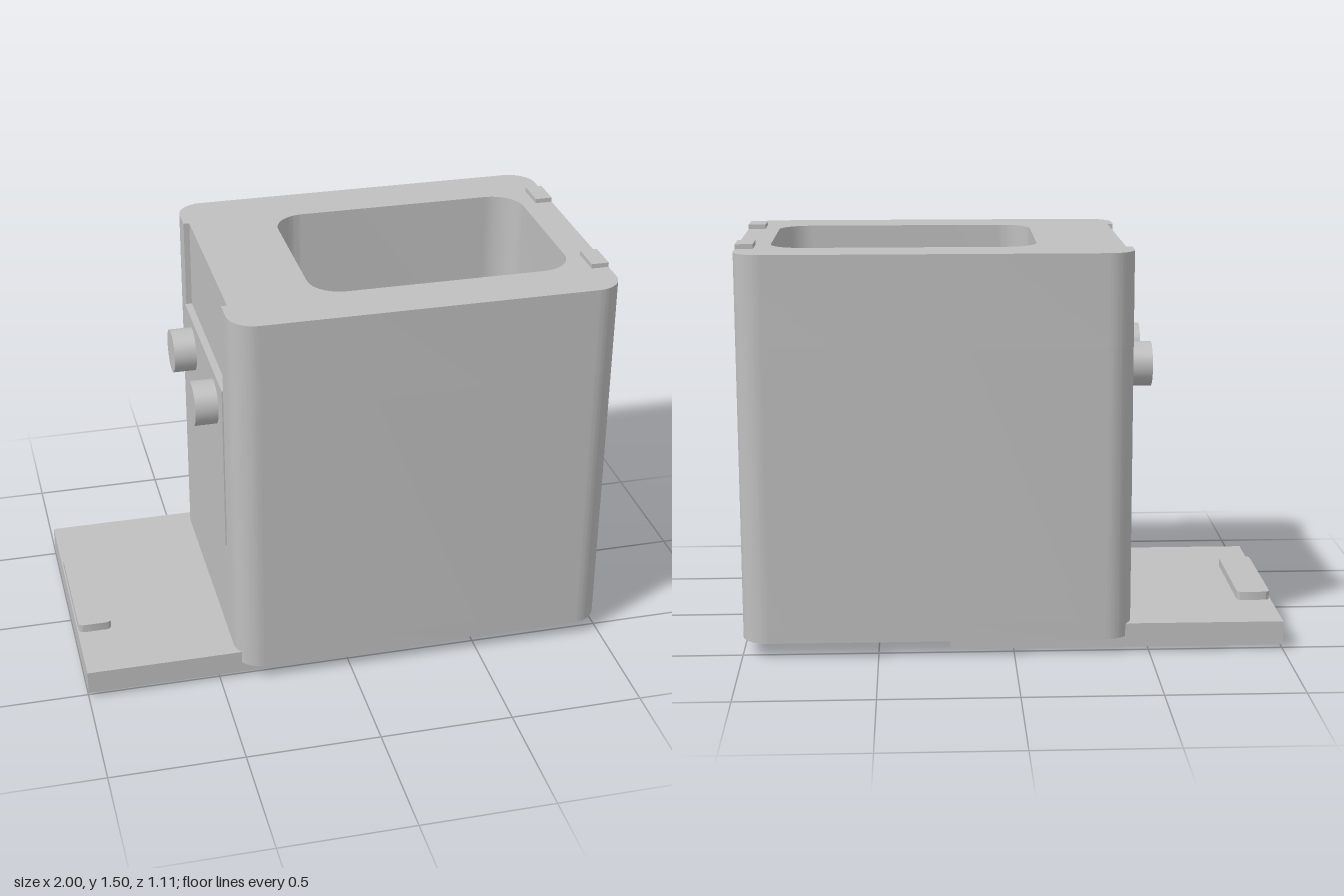
import * as THREE from 'three';
import { toCreasedNormals } from 'three/addons/utils/BufferGeometryUtils.js';

// Rounded rectangle outline; an optional notch is cut into its -x edge
function outline(target, x0, x1, halfZ, r, notchDepth = 0, notchHalf = 0) {
  const q = Math.PI / 2;
  target.moveTo(x0 + r, -halfZ);
  target.lineTo(x1 - r, -halfZ);
  target.absarc(x1 - r, -halfZ + r, r, -q, 0, false);
  target.lineTo(x1, halfZ - r);
  target.absarc(x1 - r, halfZ - r, r, 0, q, false);
  target.lineTo(x0 + r, halfZ);
  target.absarc(x0 + r, halfZ - r, r, q, 2 * q, false);
  if (notchDepth) {
    target.lineTo(x0, notchHalf);
    target.lineTo(x0 + notchDepth, notchHalf);
    target.lineTo(x0 + notchDepth, -notchHalf);
    target.lineTo(x0, -notchHalf);
  }
  target.lineTo(x0, -halfZ + r);
  target.absarc(x0 + r, -halfZ + r, r, 2 * q, 3 * q, false);
  return target;
}

export function createModel() {
  const model = new THREE.Group();
  model.name = 'container';
  const grey = new THREE.MeshStandardMaterial({ color: 0xbfbfbf });
  grey.name = 'grey';

  const add = (name, geometry, x = 0, y = 0, z = 0) => {
    const mesh = new THREE.Mesh(geometry, grey);
    mesh.name = name;
    mesh.position.set(x, y, z);
    model.add(mesh);
    return mesh;
  };
  // Box given by its limits
  const box = (name, x0, x1, y0, y1, z0, z1) =>
    add(name, new THREE.BoxGeometry(x1 - x0, y1 - y0, z1 - z0),
      (x0 + x1) / 2, (y0 + y1) / 2, (z0 + z1) / 2);
  // Cylinder lying along x
  const xCylinder = (name, r, x0, x1, y, z) =>
    add(name, new THREE.CylinderGeometry(r, r, x1 - x0, 40).rotateZ(Math.PI / 2), (x0 + x1) / 2, y, z);
  // Horizontal slice of the housing
  const layer = (name, y0, y1, open, notch) => {
    const shape = outline(new THREE.Shape(), -0.435, 1, 0.555, 0.1, notch ? 0.022 : 0, 0.37);
    if (open) shape.holes.push(outline(new THREE.Path(), -0.095, 0.88, 0.355, 0.12));
    const g = new THREE.ExtrudeGeometry(shape, { depth: y1 - y0, bevelEnabled: false, curveSegments: 12 });
    g.rotateX(-Math.PI / 2);
    add(name, toCreasedNormals(g, 0.6), 0, y0, 0);
  };

  // Housing: solid floor, hollow walls, rim with a recess above the control panel
  layer('housingFloor', 0.06, 0.13, false, false);
  layer('housingWalls', 0.13, 1.15, true, false);
  layer('housingRim', 1.15, 1.488, true, true);

  // Control panel with two knobs
  box('controlPanel', -0.44, -0.433, 0.5, 1.15, -0.37, 0.37);
  for (const z of [-0.22, 0.215]) xCylinder('knob', 0.083, -0.525, -0.435, 1.03, z);

  // Stops on the rim
  for (const s of [-1, 1]) box('rimTab', 0.935, 1, 1.485, 1.505, s * 0.3125 - 0.0625, s * 0.3125 + 0.0625);

  // Base plate and its grip
  box('basePlate', -1, 0.235, 0.018, 0.108, -0.52, 0.515);
  const gripShape = outline(new THREE.Shape(), -0.995, -0.87, 0.248, 0.02);
  const grip = new THREE.ExtrudeGeometry(gripShape, { depth: 0.04, bevelEnabled: false, curveSegments: 4 });
  add('grip', toCreasedNormals(grip.rotateX(-Math.PI / 2), 0.6), 0, 0.1, 0);

  // Hinge bars and latch under the housing
  for (const [z0, z1] of [[0.26, 0.44], [-0.25, -0.07]]) {
    const rod = new THREE.CylinderGeometry(0.013, 0.013, z1 - z0, 16).rotateX(Math.PI / 2);
    add('hingeRod', rod, 0.3, 0.05, (z0 + z1) / 2);
  }
  for (const [z0, z1] of [[0.16, 0.26], [-0.35, -0.25], [0.06, 0.12], [-0.12, -0.06]]) {
    box('hingePlate', 0.235, 0.26, 0.042, 0.062, z0, z1);
  }
  const ring = new THREE.Shape().absarc(0, 0, 0.06, 0, Math.PI * 2, false);
  ring.holes.push(new THREE.Path().absarc(0, 0, 0.032, 0, Math.PI * 2, true));
  const ringGeometry = new THREE.ExtrudeGeometry(ring, { depth: 0.016, bevelEnabled: false, curveSegments: 20 });
  add('latchRing', toCreasedNormals(ringGeometry.rotateY(Math.PI / 2), 0.6), 0.263, 0.06, 0);
  box('latchBar', 0.25, 0.345, 0.04, 0.062, -0.025, 0.025);

  return model;
}
